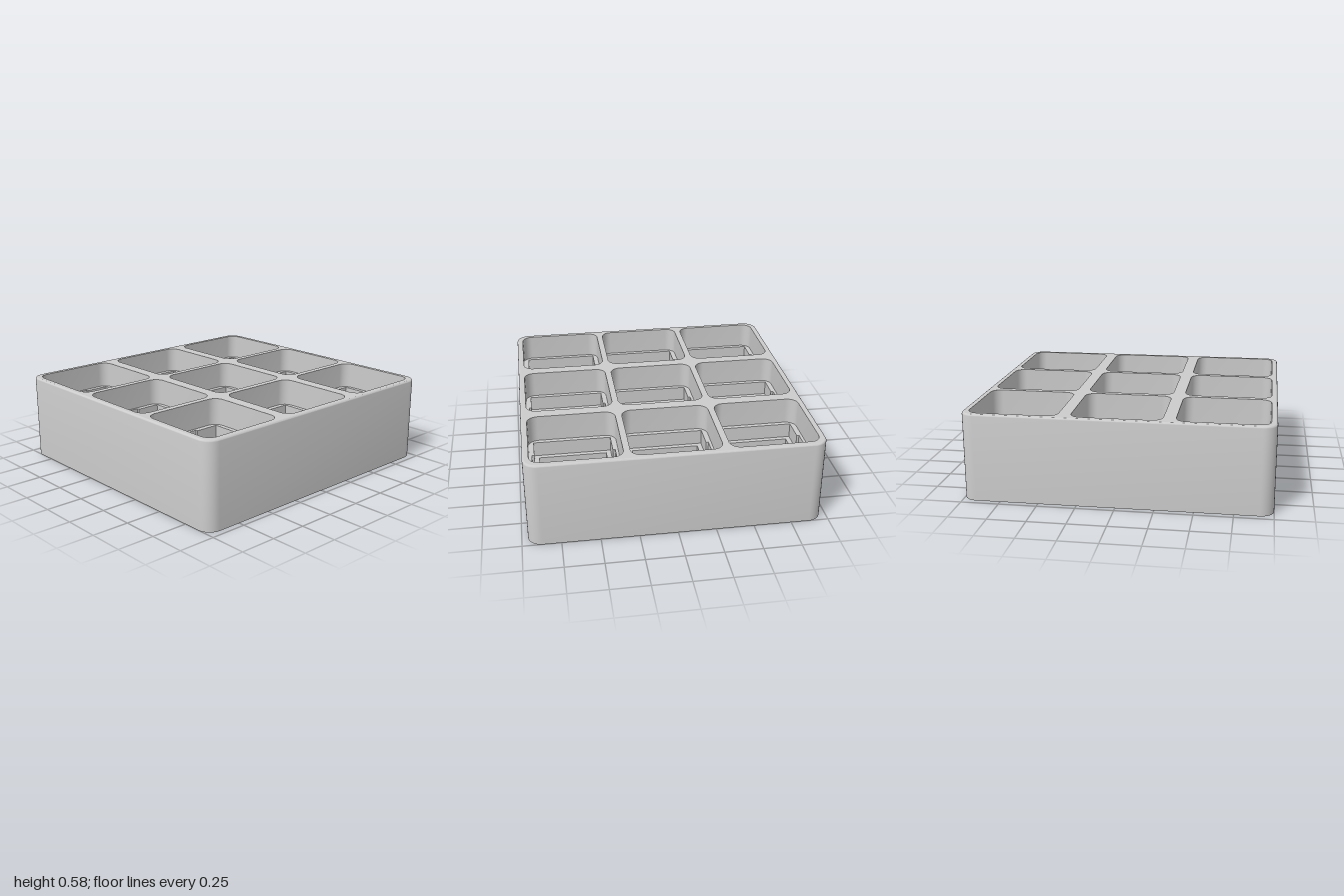
import * as THREE from 'three';
import { toCreasedNormals } from 'three/addons/utils/BufferGeometryUtils.js';

const material = new THREE.MeshStandardMaterial({ color: 0xcccccc });

// Outlines are counter-clockwise loops of (x, -z) points.
function roundedRect(hx, hz, r, steps = 8) {
  const loop = [];
  [[1, 1], [-1, 1], [-1, -1], [1, -1]].forEach(([sx, sy], q) => {
    for (let i = 0; i <= steps; i++) {
      const a = (q + i / steps) * Math.PI / 2;
      loop.push(new THREE.Vector2(sx * (hx - r) + r * Math.cos(a), sy * (hz - r) + r * Math.sin(a)));
    }
  });
  return loop;
}

function circle(r, x = 0, z = 0, n = 32) {
  return Array.from({ length: n }, (_, i) => {
    const a = i / n * Math.PI * 2;
    return new THREE.Vector2(x + r * Math.cos(a), -z + r * Math.sin(a));
  });
}

const polygon = (pts) => pts.map(([x, y]) => new THREE.Vector2(x, y));
const shifted = (loop, x, z) => loop.map((p) => new THREE.Vector2(p.x + x, p.y - z));

// Walls through a stack of [loop, y]: upwards faces outward, downwards faces inward.
function walls(rings) {
  const pos = [], index = [], n = rings[0][0].length;
  rings.forEach(([loop, y]) => loop.forEach((p) => pos.push(p.x, y, -p.y)));
  for (let k = 0; k < rings.length - 1; k++) {
    for (let i = 0; i < n; i++) {
      const j = (i + 1) % n, a = k * n + i, b = k * n + j;
      index.push(a, b, b + n, a, b + n, a + n);
    }
  }
  const geo = new THREE.BufferGeometry();
  geo.setAttribute('position', new THREE.Float32BufferAttribute(pos, 3));
  geo.setIndex(index);
  return toCreasedNormals(geo, 0.5);
}

// Flat face at height y, facing up (or down), with holes.
function sheet(loop, y, holes = [], down = false) {
  const shape = new THREE.Shape(loop);
  shape.holes = holes.map((h) => new THREE.Path(h));
  return new THREE.ShapeGeometry(shape).rotateX(down ? Math.PI / 2 : -Math.PI / 2).translate(0, y, 0);
}

function add(group, name, geo) {
  const mesh = new THREE.Mesh(geo, material);
  mesh.name = name;
  group.add(mesh);
}

// Heights of the levels
const TOP = 0.58, FLOOR = 0.4, LEDGE = 0.3, BASE = 0.14, HOLE_END = 0.03;

const pocketLoop = roundedRect(0.293, 0.292, 0.07);
const recessLoop = polygon([
  [0.262, -0.257], [0.262, 0.257], [0.098, 0.257], [0.098, 0.273], [-0.098, 0.273], [-0.098, 0.257],
  [-0.262, 0.257], [-0.262, -0.257], [-0.098, -0.257], [-0.098, -0.273], [0.098, -0.273], [0.098, -0.257],
]);
const wellLoop = polygon([[0.23, -0.225], [0.23, 0.225], [-0.23, 0.225], [-0.23, -0.225]]);

// One stepped socket; side mirrors its two pin holes
function createSocket(side) {
  const socket = new THREE.Group();
  add(socket, 'pocketWall', walls([[pocketLoop, TOP], [pocketLoop, FLOOR]]));
  add(socket, 'pocketFloor', sheet(pocketLoop, FLOOR, [recessLoop]));
  add(socket, 'recessWall', walls([[recessLoop, FLOOR], [recessLoop, LEDGE]]));
  add(socket, 'recessLedge', sheet(recessLoop, LEDGE, [wellLoop]));
  add(socket, 'wellWall', walls([[wellLoop, LEDGE], [wellLoop, BASE]]));

  // Chamfered blind holes: name, x, z, rim radius
  const holes = [
    ['centreHole', 0, 0, 0.08], ['sideHole', 0.166, 0, 0.043], ['sideHole', -0.166, 0, 0.043],
    ['pinHole', 0.083 * side, -0.167, 0.043], ['pinHole', -0.125 * side, -0.083, 0.043],
  ];
  add(socket, 'wellFloor', sheet(wellLoop, BASE, holes.map(([, x, z, r]) => circle(r, x, z))));
  for (const [name, x, z, r] of holes) {
    const rim = circle(r, x, z), bore = circle(r - 0.01, x, z);
    add(socket, name + 'Wall', walls([[rim, BASE], [bore, BASE - 0.01], [bore, HOLE_END]]));
    add(socket, name + 'End', sheet(bore, HOLE_END));
  }
  return socket;
}

export function createModel() {
  const model = new THREE.Group();
  model.name = 'socketBlock';

  // Outer shell with a small rounded top edge
  const bevel = 0.013;
  const outline = (inset) => roundedRect(1 - inset, 0.96 - inset, 0.09 - inset);
  const rings = [[outline(0), 0]];
  for (let i = 0; i <= 4; i++) {
    const a = i / 4 * Math.PI / 2;
    rings.push([outline(bevel * (1 - Math.cos(a))), TOP - bevel * (1 - Math.sin(a))]);
  }
  add(model, 'outerWall', walls(rings));
  add(model, 'underside', sheet(outline(0), 0, [], true));

  // Three by three sockets, pin holes mirrored in the middle column
  const openings = [];
  for (const col of [-1, 0, 1]) {
    for (const row of [-1, 0, 1]) {
      const x = col * 0.667, z = row * 0.627;
      const socket = createSocket(col === 0 ? -1 : 1);
      socket.name = 'socket';
      socket.position.set(x, 0, z);
      model.add(socket);
      openings.push(shifted(pocketLoop, x, z));
    }
  }
  add(model, 'topFace', sheet(outline(bevel), TOP, openings));
  return model;
}
